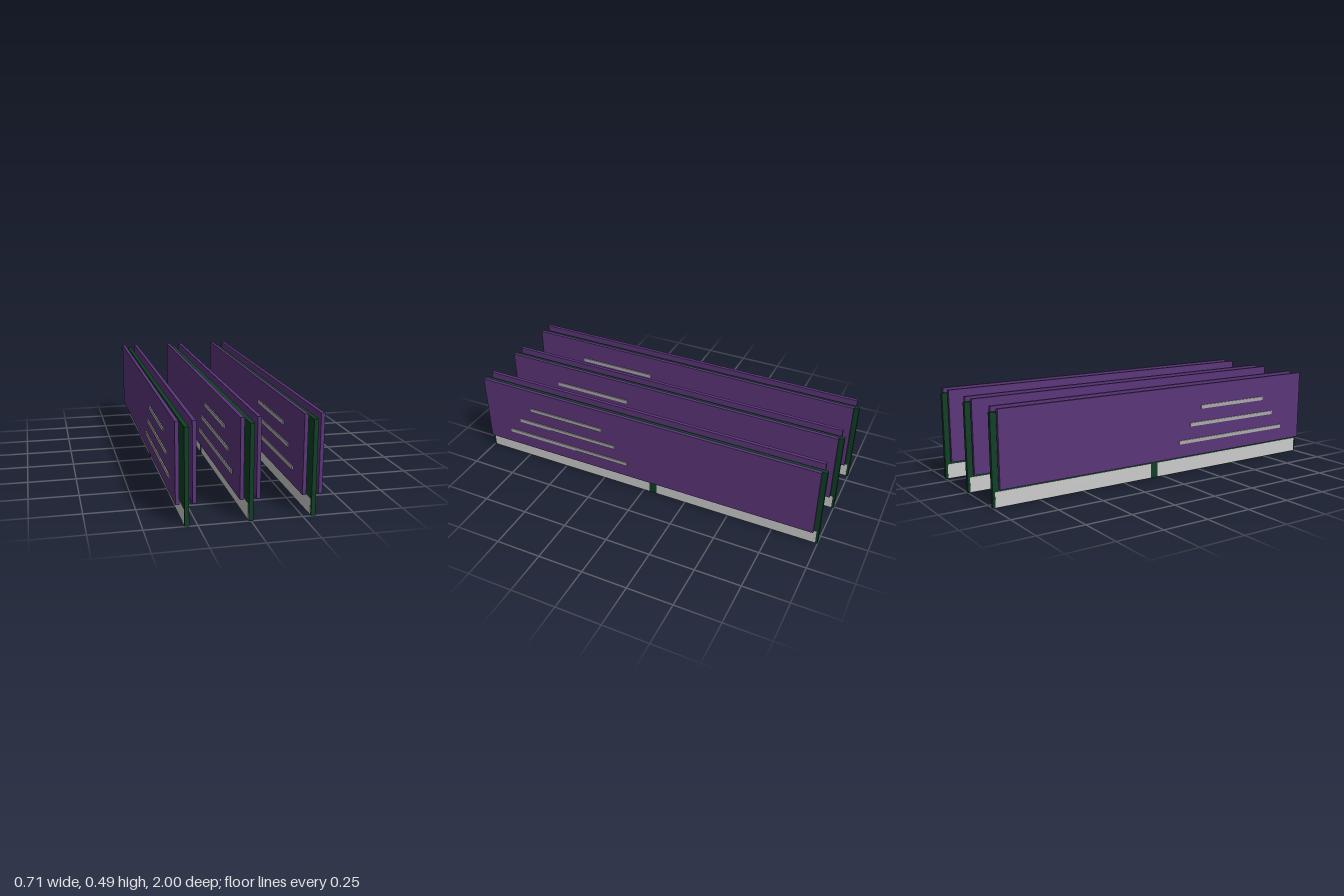
import * as THREE from 'three';

const mat = (name, color) => {
  const m = new THREE.MeshStandardMaterial({ color });
  m.name = name;
  return m;
};

export function createModel() {
  const green = mat('boardGreen', 0x0f3f25);
  const purple = mat('spreaderPurple', 0x5a3579);
  const black = mat('chipBlack', 0x222222);
  const silver = mat('contactSilver', 0xcccccc);
  const grey = mat('ribGrey', 0xaaaaaa);

  // Box given by its [min, max] range on each axis
  const box = (name, material, [x0, x1], [y0, y1], [z0, z1]) => {
    const mesh = new THREE.Mesh(new THREE.BoxGeometry(x1 - x0, y1 - y0, z1 - z0), material);
    mesh.position.set((x0 + x1) / 2, (y0 + y1) / 2, (z0 + z1) / 2);
    mesh.name = name;
    return mesh;
  };
  // Range on either side of the board, mirrored for side = -1
  const mirror = (side, a, b) => (side > 0 ? [a, b] : [-b, -a]);

  function memoryModule() {
    const module = new THREE.Group();
    module.name = 'memoryModule';
    module.add(box('circuitBoard', green, [-0.0105, 0.0105], [0, 0.467], [-1, 1]));

    // Memory chips, standing out on both faces of the board
    for (let i = 0; i < 8; i++) {
      const z = (i - 3.5) * 0.2235;
      module.add(box('memoryChip', black, [-0.0235, 0.0235], [0.183, 0.315], [z - 0.079, z + 0.079]));
    }
    module.add(box('controlChip', black, [0.0105, 0.019], [0.356, 0.4], [-0.03, 0.03]));

    for (const side of [1, -1]) {
      // Edge contacts in two runs, leaving the key gap between them
      const skin = mirror(side, 0.0105, 0.0118);
      module.add(box('longContacts', silver, skin, [0.002, 0.08], [-0.035, 0.988]));
      module.add(box('shortContacts', silver, skin, [0.002, 0.08], [-0.988, -0.078]));

      // Heat spreader plate with three raised ribs
      module.add(box('heatSpreader', purple, mirror(side, 0.0305, 0.0485), [0.098, 0.488], [-0.978, 0.978]));
      [[0.182, 0.375], [0.273, 0.302], [0.364, 0.226]].forEach(([y, half]) => {
        module.add(box('spreaderRib', grey, mirror(side, 0.0475, 0.054),
          [y - 0.01, y + 0.01], [0.455 - half, 0.455 + half]));
      });
    }
    return module;
  }

  const model = new THREE.Group();
  model.name = 'memoryModules';
  for (const x of [-0.3, 0, 0.3]) {
    const module = memoryModule();
    module.position.x = x;
    model.add(module);
  }
  return model;
}
